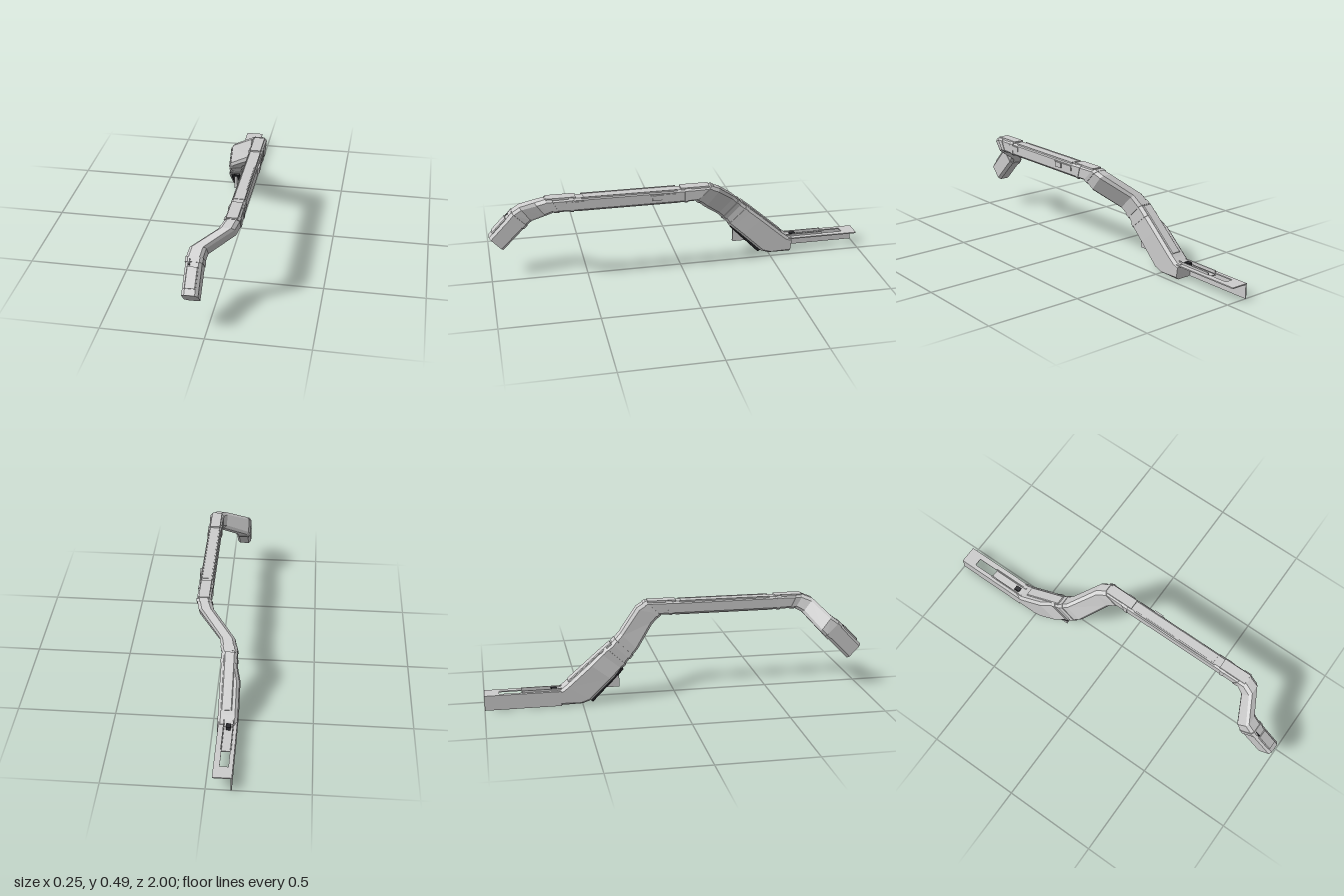
import * as THREE from 'three';

const grey = new THREE.MeshStandardMaterial({ color: 0xcccccc, flatShading: true });
const dark = new THREE.MeshStandardMaterial({ color: 0x2a2a2e, flatShading: true });

// Cross-section: top edge (z, y), bottom edge (z, y), x range, chamfer
const sec = (tz, ty, bz, by, x0, x1, c = 0.014) => [tz, ty, bz, by, x0, x1, c];
const mix = (a, b, t) => a.map((v, i) => v + (b[i] - v) * t);

// Enlarge a section evenly by g
function grow(s, g) {
  const [tz, ty, bz, by, x0, x1, c] = s;
  const l = Math.hypot(tz - bz, ty - by), dz = (tz - bz) / l * g, dy = (ty - by) / l * g;
  return [tz + dz, ty + dy, bz - dz, by - dy, x0 - g, x1 + g, c];
}

// Eight-sided ring, counter-clockwise seen from the front
function ring([tz, ty, bz, by, x0, x1, c]) {
  const l = Math.hypot(tz - bz, ty - by), f = c / l;
  return [[x0 + c, 0], [x1 - c, 0], [x1, f], [x1, 1 - f], [x1 - c, 1], [x0 + c, 1], [x0, 1 - f], [x0, f]]
    .map(([x, v]) => [x, by + (ty - by) * v, bz + (tz - bz) * v]);
}

// Closed skin through sections ordered from front to back
function loft(sections) {
  const rings = sections.map(ring), n = 8, idx = [];
  for (let i = 0; i < rings.length - 1; i++)
    for (let k = 0; k < n; k++) {
      const a = i * n + k, b = i * n + (k + 1) % n;
      idx.push(a, a + n, b, b, a + n, b + n);
    }
  const e = (rings.length - 1) * n;
  for (let k = 1; k < n - 1; k++) idx.push(0, k, k + 1, e, e + k + 1, e + k);
  const g = new THREE.BufferGeometry();
  g.setAttribute('position', new THREE.Float32BufferAttribute(rings.flat(2), 3));
  g.setIndex(idx);
  const flat = g.toNonIndexed();
  flat.computeVertexNormals();
  return flat;
}

export function createModel() {
  const root = new THREE.Group();
  const add = (name, geo, mat = grey) => {
    const m = new THREE.Mesh(geo, mat);
    m.name = name;
    root.add(m);
    return m;
  };
  const box = (name, x0, x1, y0, y1, z0, z1, mat) =>
    add(name, new THREE.BoxGeometry(x1 - x0, y1 - y0, z1 - z0), mat)
      .position.set((x0 + x1) / 2, (y0 + y1) / 2, (z0 + z1) / 2);

  // Main arm sections
  const nose = sec(1.0, 0.245, 0.93, 0.17, -0.105, -0.027);
  const frontElbowA = sec(0.875, 0.375, 0.80, 0.30, -0.105, -0.027);
  const frontElbowB = sec(0.835, 0.405, 0.775, 0.325, -0.096, -0.018);
  const frontTopA = sec(0.765, 0.475, 0.71, 0.40, 0.025, 0.102, 0.016);
  const frontTopB = sec(0.715, 0.493, 0.67, 0.42, 0.044, 0.116, 0.016);
  const beamFront = sec(0.57, 0.49, 0.57, 0.42, 0.045, 0.115, 0.01);
  const beamBack = sec(0.0, 0.49, 0.0, 0.42, 0.045, 0.115, 0.01);
  const backTopA = sec(-0.14, 0.494, -0.06, 0.42, 0.044, 0.116, 0.016);
  const backTopB = sec(-0.19, 0.47, -0.11, 0.375, 0.024, 0.102, 0.016);
  const backElbowA = sec(-0.295, 0.37, -0.205, 0.28, -0.09, -0.013);
  const backElbowB = sec(-0.34, 0.325, -0.25, 0.235, -0.105, -0.027);
  const slopeTop = sec(-0.40, 0.275, -0.29, 0.185, -0.106, -0.027);
  const slopeWide = sec(-0.46, 0.225, -0.345, 0.135, -0.124, -0.026);
  const slopeLow = sec(-0.585, 0.115, -0.455, 0.03, -0.125, -0.026);
  const foot = sec(-0.61, 0.096, -0.50, 0.014, -0.125, -0.026);
  const footEnd = sec(-0.63, 0.092, -0.62, 0.012, -0.125, -0.026);

  add('frontSegment', loft([nose, frontElbowA, frontElbowB, frontTopA, frontTopB, beamFront]));
  add('mainBeam', loft([beamFront, beamBack]));
  add('rearSegment', loft([beamBack, backTopA, backTopB, backElbowA, backElbowB, slopeTop]));
  add('lowerSlope', loft([slopeTop, slopeWide, slopeLow, foot, footEnd]));

  // Raised collars around the joints
  const collar = (a, b, t0, t1, g = 0.003) =>
    add('jointCollar', loft([grow(mix(a, b, t0), g), grow(mix(a, b, t1), g)]));
  collar(nose, frontElbowA, 0.86, 1);
  collar(frontTopB, beamFront, 0.0, 0.25);
  collar(frontTopB, beamFront, 0.82, 1);
  collar(beamBack, backTopA, 0.0, 0.25);
  collar(backTopA, backTopB, 0.0, 0.3);
  collar(backElbowA, backElbowB, 0.6, 1);
  collar(backElbowB, slopeTop, 0.5, 0.8);

  // Joint covers and inset panel on top of the beam
  box('frontJointCover', 0.053, 0.107, 0.485, 0.498, 0.56, 0.71);
  box('rearJointCover', 0.053, 0.107, 0.485, 0.498, -0.13, 0.02);
  box('beamTopPanel', 0.058, 0.102, 0.486, 0.492, 0.05, 0.52);
  for (const x of [0.05, 0.106]) box('beamTopRail', x, x + 0.004, 0.486, 0.494, 0.04, 0.53);
  box('beamUnderRib', 0.06, 0.10, 0.416, 0.424, 0.02, 0.55);

  // Side clips
  box('frontSideClip', 0.11, 0.119, 0.45, 0.475, 0.52, 0.61);
  box('rearSideClip', 0.11, 0.119, 0.45, 0.475, 0.04, 0.18);
  box('sideButton', 0.11, 0.124, 0.448, 0.475, 0.12, 0.17);

  // Cover and slot on the front segment
  add('frontCover', loft([
    sec(0.983, 0.272, 0.965, 0.254, -0.094, -0.04, 0.004),
    sec(0.913, 0.345, 0.895, 0.327, -0.094, -0.04, 0.004)]));
  add('frontSlot', loft([
    sec(0.908, 0.346, 0.89, 0.328, -0.088, -0.08, 0.001),
    sec(0.88, 0.374, 0.862, 0.356, -0.088, -0.08, 0.001)]), dark);

  // Raised panel along the back of the slope
  add('slopePanel', loft([
    sec(-0.35, 0.326, -0.335, 0.309, -0.095, -0.042, 0.004),
    sec(-0.405, 0.28, -0.39, 0.26, -0.095, -0.042, 0.004),
    sec(-0.572, 0.134, -0.557, 0.114, -0.095, -0.042, 0.004)]));

  // Dark grip strip with slats beneath the slope
  add('gripStrip', loft([
    sec(-0.31, 0.20, -0.285, 0.18, -0.103, -0.055, 0.004),
    sec(-0.475, 0.04, -0.445, 0.015, -0.103, -0.055, 0.004)]), dark);
  for (let i = 0; i < 6; i++) {
    const slat = add('gripSlat', new THREE.BoxGeometry(0.052, 0.01, 0.014), dark);
    slat.position.set(-0.079, 0.183 - i * 0.03, -0.293 - i * 0.029);
    slat.rotation.x = -Math.PI / 4;
  }

  // Triangular fin below the grip
  const tri = new THREE.Shape([[0.305, 0.2], [0.305, 0.085], [0.4, 0.085]].map(p => new THREE.Vector2(...p)));
  const fin = new THREE.ExtrudeGeometry(tri, { depth: 0.016, bevelEnabled: false });
  fin.rotateY(Math.PI / 2);
  add('gripFin', fin).position.x = -0.087;

  // Tail: slotted top plate and one side wall
  const rect = (C, x0, x1, z0, z1) =>
    new C([[x0, z0], [x1, z0], [x1, z1], [x0, z1]].map(p => new THREE.Vector2(...p)));
  const plate = rect(THREE.Shape, -0.125, -0.032, 0.61, 1.0);
  plate.holes.push(rect(THREE.Path, -0.104, -0.062, 0.64, 0.925));
  const plateGeo = new THREE.ExtrudeGeometry(plate, { depth: 0.006, bevelEnabled: false });
  plateGeo.rotateX(-Math.PI / 2);
  add('tailPlate', plateGeo).position.y = 0.084;
  box('tailWall', -0.125, -0.119, 0.012, 0.088, -1.0, -0.61);

  // Slot lip and inner tray
  for (const x of [-0.109, -0.062]) box('slotLip', x, x + 0.005, 0.086, 0.101, -0.81, -0.58);
  box('slotTray', -0.106, -0.06, 0.076, 0.081, -0.81, -0.62);
  box('slotLatch', -0.095, -0.072, 0.08, 0.1, -0.66, -0.63, dark);

  return root;
}
